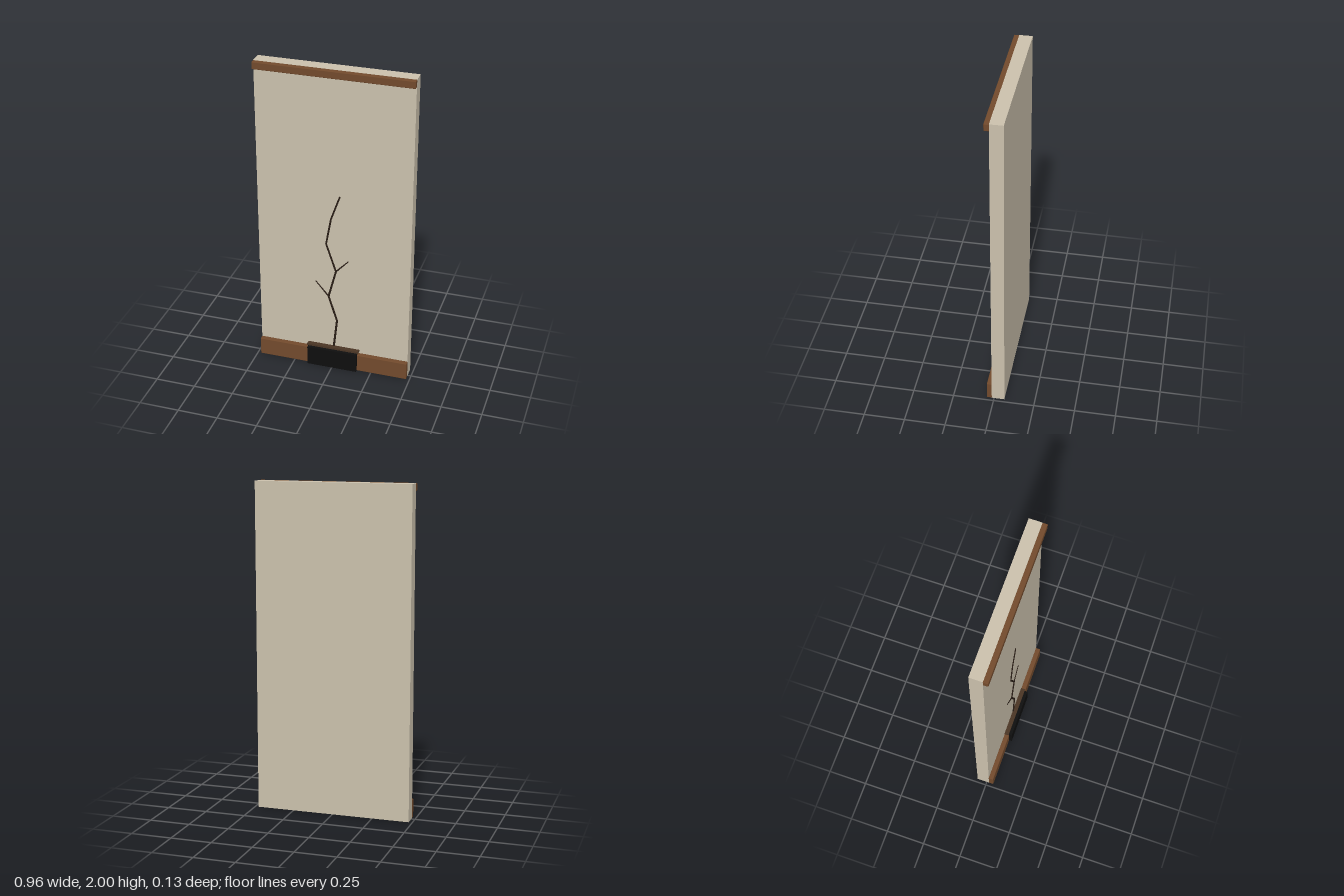
import * as THREE from 'three';
import { RoundedBoxGeometry } from 'three/addons/geometries/RoundedBoxGeometry.js';

const mat = (name, color) => {
  const m = new THREE.MeshStandardMaterial({ color });
  m.name = name;
  return m;
};

export function createModel() {
  const group = new THREE.Group();
  const plaster = mat('plaster', 0xcac0ac);
  const wood = mat('wood', 0x724a2c);
  const darkWood = mat('dark wood', 0x4a3524);
  const black = mat('black', 0x0e0e0e);
  const bark = mat('bark', 0x2a1e16);

  // Box given by its extents; a radius softens the edges
  const block = (name, material, [x0, x1], [y0, y1], [z0, z1], r = 0) => {
    const size = [x1 - x0, y1 - y0, z1 - z0];
    const geo = r ? new RoundedBoxGeometry(...size, 1, r) : new THREE.BoxGeometry(...size);
    const mesh = new THREE.Mesh(geo, material);
    mesh.position.set((x0 + x1) / 2, (y0 + y1) / 2, (z0 + z1) / 2);
    mesh.name = name;
    group.add(mesh);
  };

  block('wallPanel', plaster, [-0.478, 0.478], [0, 2], [-0.064, 0.015]);
  block('topRail', wood, [-0.479, 0.479], [1.955, 2], [0.013, 0.045], 0.004);
  block('bottomRail', wood, [-0.479, 0.479], [0, 0.115], [0.013, 0.045], 0.004);
  block('planter', black, [-0.16, 0.16], [0.001, 0.126], [0.016, 0.063]);
  block('planterLedge', darkWood, [-0.167, 0.167], [0.126, 0.139], [0.015, 0.043]);

  // Branch: tapered straight segments lying against the panel
  const branch = new THREE.Group();
  branch.name = 'branch';
  const limb = (name, points, r0, r1) => {
    const n = points.length - 1;
    for (let i = 0; i < n; i++) {
      const a = new THREE.Vector3(...points[i], 0.016);
      const b = new THREE.Vector3(...points[i + 1], 0.016);
      const dir = b.clone().sub(a);
      const ra = r0 + (r1 - r0) * i / n, rb = r0 + (r1 - r0) * (i + 1) / n;
      const mesh = new THREE.Mesh(new THREE.CylinderGeometry(rb, ra, dir.length() + 0.004, 8), bark);
      mesh.position.copy(a).add(b).multiplyScalar(0.5);
      mesh.quaternion.setFromUnitVectors(new THREE.Vector3(0, 1, 0), dir.normalize());
      mesh.name = name;
      branch.add(mesh);
    }
  };
  limb('stem', [[0, 0.13], [0.021, 0.33], [-0.033, 0.5], [0.014, 0.685], [-0.048, 0.87],
    [-0.017, 1.045], [0.037, 1.2]], 0.007, 0.005);
  limb('leftwardTwig', [[-0.033, 0.5], [-0.114, 0.595]], 0.005, 0.003);
  limb('rightwardTwig', [[0.014, 0.685], [0.092, 0.768]], 0.005, 0.003);
  group.add(branch);

  return group;
}
